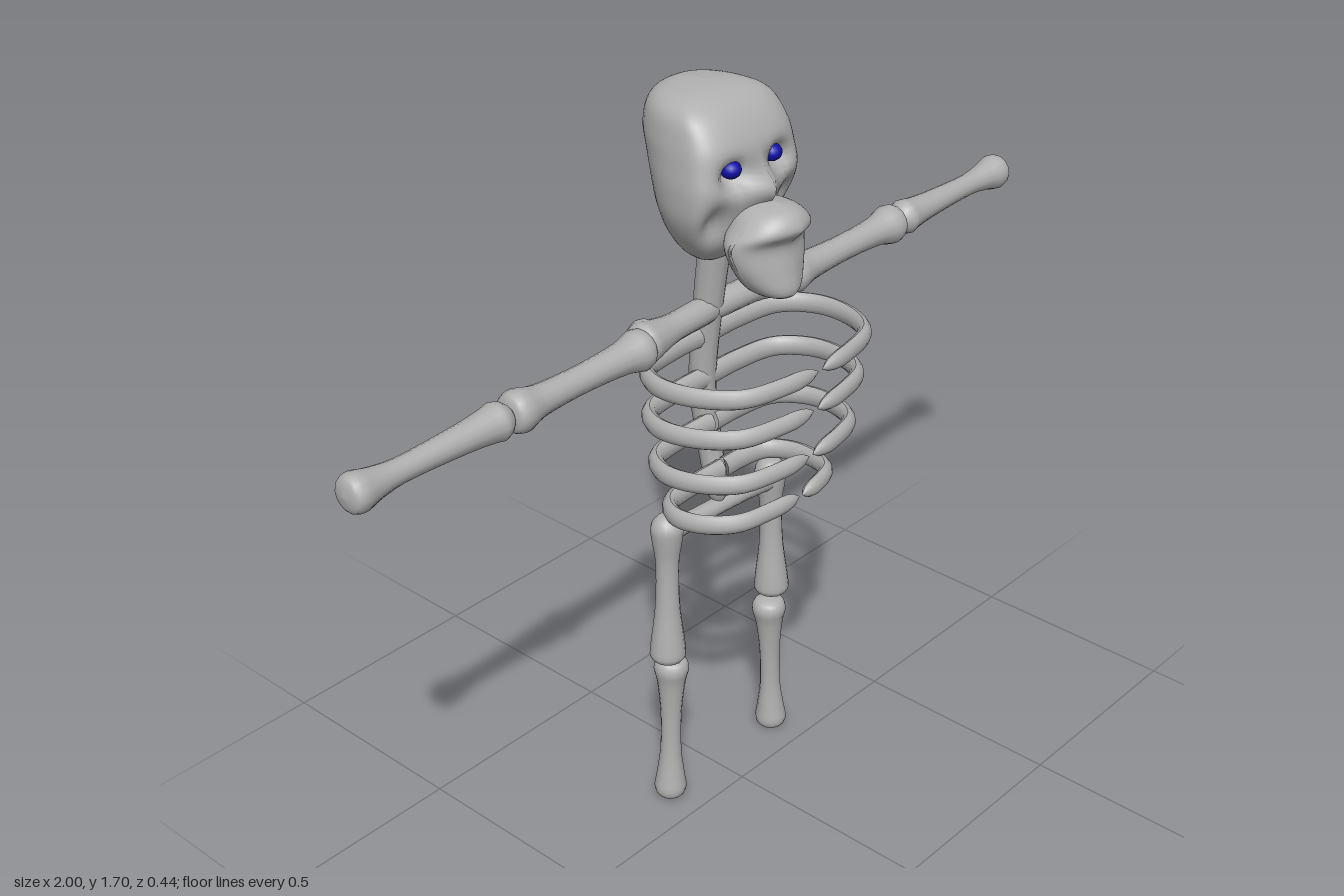
import * as THREE from 'three';

const V = (x, y, z) => new THREE.Vector3(x, y, z);
const bone = new THREE.MeshStandardMaterial({ color: 0xb0b0b0 });
bone.name = 'boneGrey';
const blue = new THREE.MeshStandardMaterial({ color: 0x1010a8 });
blue.name = 'eyeBlue';

function add(parent, name, geometry, material = bone) {
  const mesh = new THREE.Mesh(geometry, material);
  mesh.name = name;
  parent.add(mesh);
  return mesh;
}

// Bone turned around the line a-b; profile holds [fraction along, radius]
function addBone(parent, name, a, b, profile) {
  const dir = b.clone().sub(a), len = dir.length();
  const spline = new THREE.SplineCurve(profile.map(([t, r]) => new THREE.Vector2(r, t * len)));
  const pts = spline.getPoints(profile.length * 3);
  pts.forEach(p => { p.x = Math.max(0, p.x); });
  const mesh = add(parent, name, new THREE.LatheGeometry(pts, 14));
  mesh.position.copy(a);
  mesh.quaternion.setFromUnitVectors(V(0, 1, 0), dir.normalize());
  return mesh;
}

// Tube along points whose section is scaled by size(t), wide and tall
function taperedTube(points, size, wide, tall) {
  const curve = new THREE.CatmullRomCurve3(points), n = 32, m = 10;
  const geo = new THREE.TubeGeometry(curve, n, 1, m), pos = geo.attributes.position;
  const p = V(0, 0, 0);
  for (let i = 0; i <= n; i++) {
    const c = curve.getPointAt(i / n), s = size(i / n);
    for (let j = 0; j <= m; j++) {
      const k = i * (m + 1) + j;
      p.fromBufferAttribute(pos, k).sub(c).multiply(V(wide * s, tall * s, wide * s)).add(c);
      pos.setXYZ(k, p.x, p.y, p.z);
    }
  }
  geo.computeVertexNormals();
  return geo;
}

// Loft of rounded sections, top to bottom; rows hold [y, half width, front z, back z]
function loft(rows, power, mid, shape = () => {}) {
  const a = new THREE.SplineCurve(rows.map(r => new THREE.Vector2(r[0], r[1])));
  const b = new THREE.SplineCurve(rows.map(r => new THREE.Vector2(r[2], r[3])));
  const n = rows.length * 4, m = 48, verts = [], index = [];
  const round = (v, e) => Math.sign(v) * Math.abs(v) ** (2 / e);
  for (let i = 0; i <= n; i++) {
    const { x: y, y: w } = a.getPoint(i / n), { x: zF, y: zB } = b.getPoint(i / n);
    const zc = THREE.MathUtils.lerp(zB, zF, mid);
    for (let j = 0; j < m; j++) {
      const t = j / m * Math.PI * 2, c = Math.cos(t), e = c > 0 ? power : 2.1;
      const p = V(Math.max(0, w) * round(Math.sin(t), e), y,
        zc + round(c, e) * (c > 0 ? zF - zc : zc - zB));
      if (c > 0) shape(p);
      verts.push(p.x, p.y, p.z);
      if (i < n) {
        const k = i * m + j, l = i * m + (j + 1) % m;
        index.push(k, k + m, l + m, k, l + m, l);
      }
    }
  }
  const geo = new THREE.BufferGeometry();
  geo.setAttribute('position', new THREE.Float32BufferAttribute(verts, 3));
  geo.setIndex(index);
  geo.computeVertexNormals();
  return geo;
}

const bump = (dx, dy, sx, sy) => Math.exp(-((dx / sx) ** 2) - ((dy / sy) ** 2));

function makeHead() {
  const head = new THREE.Group();
  head.name = 'head';
  // Cranium with eye sockets, nose ridge and hollow cheeks
  add(head, 'cranium', loft([
    [1.703, 0, -0.1, -0.13], [1.695, 0.075, -0.05, -0.175], [1.67, 0.122, 0.0, -0.21],
    [1.62, 0.14, 0.037, -0.225], [1.57, 0.148, 0.05, -0.212], [1.52, 0.153, 0.055, -0.197],
    [1.46, 0.147, 0.042, -0.18], [1.40, 0.118, 0.015, -0.16], [1.355, 0.075, -0.02, -0.125],
    [1.337, 0, -0.05, -0.09],
  ], 2.8, 0.72, p => {
    const ax = Math.abs(p.x);
    p.z += 0.035 * bump(p.x, p.y - 1.515, 0.03, 0.04);
    p.z -= 0.045 * bump(ax - 0.065, p.y - 1.553, 0.032, 0.027);
    p.z -= 0.03 * bump(ax - 0.1, p.y - 1.46, 0.03, 0.04);
  }));
  // Muzzle and jaw with a mouth crease
  add(head, 'jaw', loft([
    [1.495, 0, 0.09, 0.05], [1.483, 0.05, 0.135, 0.01], [1.45, 0.085, 0.155, 0.0],
    [1.415, 0.105, 0.128, 0.0], [1.36, 0.088, 0.135, 0.01], [1.31, 0.05, 0.14, 0.025],
    [1.291, 0, 0.11, 0.07],
  ], 3, 0.5, p => { p.z -= 0.25 * Math.abs(p.x); }));
  for (const [name, x] of [['leftEye', 0.058], ['rightEye', -0.064]]) {
    const eye = add(head, name, new THREE.SphereGeometry(0.022, 16, 12), blue);
    eye.scale.y = 0.85;
    eye.position.set(x, 1.566, 0.026);
  }
  return head;
}

export function createModel() {
  const model = new THREE.Group();
  model.name = 'skeleton';
  model.add(makeHead());

  // Backbone, thinning slightly downwards
  add(model, 'spine', taperedTube(
    [V(0, 1.38, -0.07), V(0, 1.25, -0.09), V(0, 1.02, -0.113), V(0.01, 0.88, -0.105), V(0.015, 0.72, -0.08)],
    t => (1 - 0.3 * t) * Math.min(1, Math.sqrt(Math.max(0, 1 - t) / 0.05)), 0.036, 0.036));

  // Ribs: front y, back y, left and right half width, front z, back z
  const ribs = [
    [1.162, 1.142, 0.248, 0.248, 0.21, -0.1], [1.067, 1.04, 0.235, 0.243, 0.2, -0.1],
    [0.955, 0.93, 0.217, 0.233, 0.19, -0.09], [0.848, 0.825, 0.15, 0.218, 0.165, -0.06],
  ];
  ribs.forEach(([yF, yB, wL, wR, zF, zB], i) => {
    for (const [side, s, w] of [['left', 1, wL], ['right', -1, wR]]) {
      const at = (x, f) => V(s * x * w, THREE.MathUtils.lerp(yB, yF, f), THREE.MathUtils.lerp(zB, zF, f));
      add(model, `${side}Rib${i + 1}`, taperedTube(
        [at(0.02, 0), at(0.4, 0), at(0.82, 0.07), at(1, 0.3), at(0.98, 0.6), at(0.78, 0.87), at(0.4, 0.97), at(0.02, 1)],
        t => Math.min(1, Math.sqrt(Math.max(0, 1 - t) / 0.08)) * (1 - 0.2 * t), 0.018, 0.025));
    }
  });

  // Shoulders and arms
  const collar = [[0, 0], [0, 0.028], [0.5, 0.03], [0.78, 0.04], [0.92, 0.045], [1, 0.03], [1, 0]];
  const upperArm = [[0, 0], [0.01, 0.034], [0.07, 0.045], [0.2, 0.034], [0.5, 0.029], [0.78, 0.033], [0.91, 0.045], [0.98, 0.036], [1, 0]];
  const foreArm = [[0, 0], [0.01, 0.024], [0.07, 0.04], [0.14, 0.036], [0.3, 0.03], [0.65, 0.025], [0.82, 0.032], [0.92, 0.041], [0.98, 0.033], [1, 0]];
  for (const [side, s] of [['left', 1], ['right', -1]]) {
    addBone(model, side + 'Collarbone', V(0, 1.205, -0.09), V(s * 0.235, 1.208, -0.075), collar);
    addBone(model, side + 'UpperArm', V(s * 0.215, 1.205, -0.068), V(s * 0.603, 1.207, -0.065), upperArm);
    addBone(model, side + 'Forearm', V(s * 0.597, 1.207, -0.065), V(s, 1.208, -0.065), foreArm);
    const blade = add(model, side + 'ShoulderKnob', new THREE.SphereGeometry(0.035, 14, 10));
    blade.position.set(s * 0.2, 1.215, -0.09);
  }

  // Hip bar and legs
  addBone(model, 'pelvis', V(-0.16, 0.722, -0.083), V(0.205, 0.708, -0.083),
    [[0, 0], [0, 0.024], [0.3, 0.02], [0.7, 0.021], [1, 0.026], [1, 0]]);
  const thigh = [[0, 0], [0.01, 0.02], [0.07, 0.036], [0.16, 0.034], [0.32, 0.026], [0.6, 0.028], [0.86, 0.039], [0.95, 0.037], [1, 0]];
  const shin = [[0, 0], [0.02, 0.03], [0.08, 0.04], [0.18, 0.032], [0.4, 0.024], [0.65, 0.024], [0.83, 0.032], [0.93, 0.037], [0.98, 0.027], [1, 0]];
  const legs = [
    ['left', V(0.192, 0.757, -0.085), V(0.196, 0.385, -0.082), V(0.186, 0.385, -0.082), V(0.199, 0.004, -0.083)],
    ['right', V(-0.148, 0.765, -0.085), V(-0.158, 0.38, -0.082), V(-0.146, 0.395, -0.082), V(-0.158, 0.004, -0.083)],
  ];
  for (const [side, hip, knee, shinTop, ankle] of legs) {
    addBone(model, side + 'Thigh', knee, hip, thigh.map(([t, r]) => [1 - t, r]).reverse());
    addBone(model, side + 'Shin', shinTop, ankle, shin);
  }
  return model;
}
